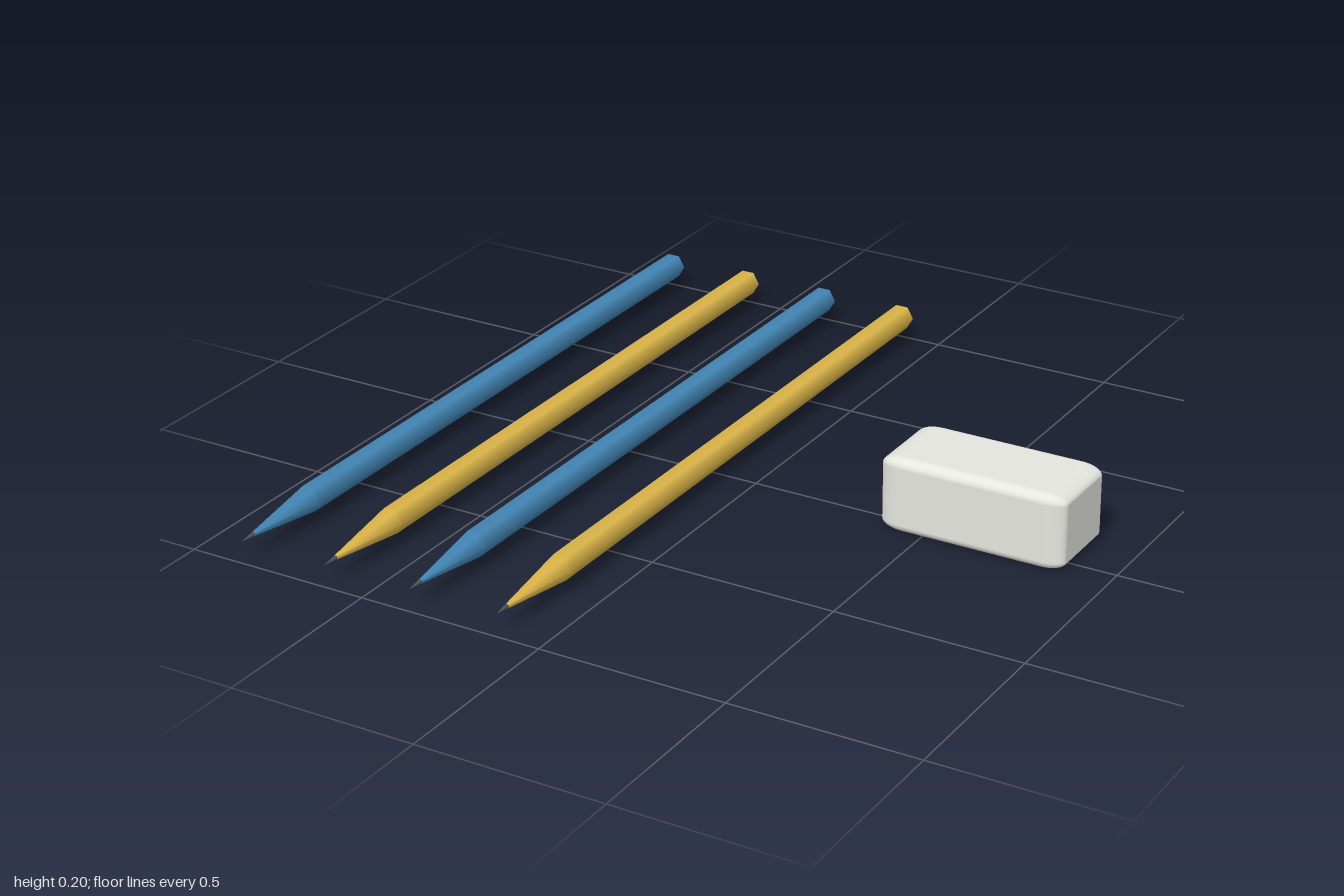
import * as THREE from 'three';
import { RoundedBoxGeometry } from 'three/addons/geometries/RoundedBoxGeometry.js';

const mat = (color) => new THREE.MeshStandardMaterial({ color });

// Six-sided section running along z, from radius r0 at z0 to r1 at z1
function hexSection(name, r0, r1, z0, z1, material, open = false) {
  const geometry = new THREE.CylinderGeometry(r1, r0, z1 - z0, 6, 1, open, Math.PI / 6);
  geometry.rotateX(Math.PI / 2).translate(0, 0, (z0 + z1) / 2);
  const mesh = new THREE.Mesh(geometry, material);
  mesh.name = name;
  return mesh;
}

export function createModel() {
  const model = new THREE.Group();
  model.name = 'pencilsAndEraser';

  const blue = mat(0x4488b8);
  const yellow = mat(0xe0b84a);
  const lead = mat(0x50545a);

  // Row of sharpened pencils, alternating colours
  const radius = 0.035, leadRadius = 0.006;
  const shoulder = 0.73, leadStart = 0.955;
  for (let i = 0; i < 4; i++) {
    const paint = i % 2 ? yellow : blue;
    const pencil = new THREE.Group();
    pencil.name = 'pencil' + (i + 1);
    pencil.add(
      hexSection('pencilBody', radius, radius, -1, shoulder, paint),
      hexSection('pencilCone', radius, leadRadius, shoulder, leadStart, paint, true),
      hexSection('pencilLead', leadRadius, 0, leadStart, 1, lead, true)
    );
    pencil.position.set(-0.85 + i * 0.245, 0.06, 0);
    model.add(pencil);
  }

  // Eraser block with soft edges, stretched along x
  const eraser = new THREE.Mesh(new RoundedBoxGeometry(1, 1, 1, 5, 0.12), mat(0xe6e6e0));
  eraser.name = 'eraser';
  eraser.scale.set(0.5, 0.2, 0.24);
  eraser.position.set(0.635, 0.1, -0.05);
  model.add(eraser);

  return model;
}
